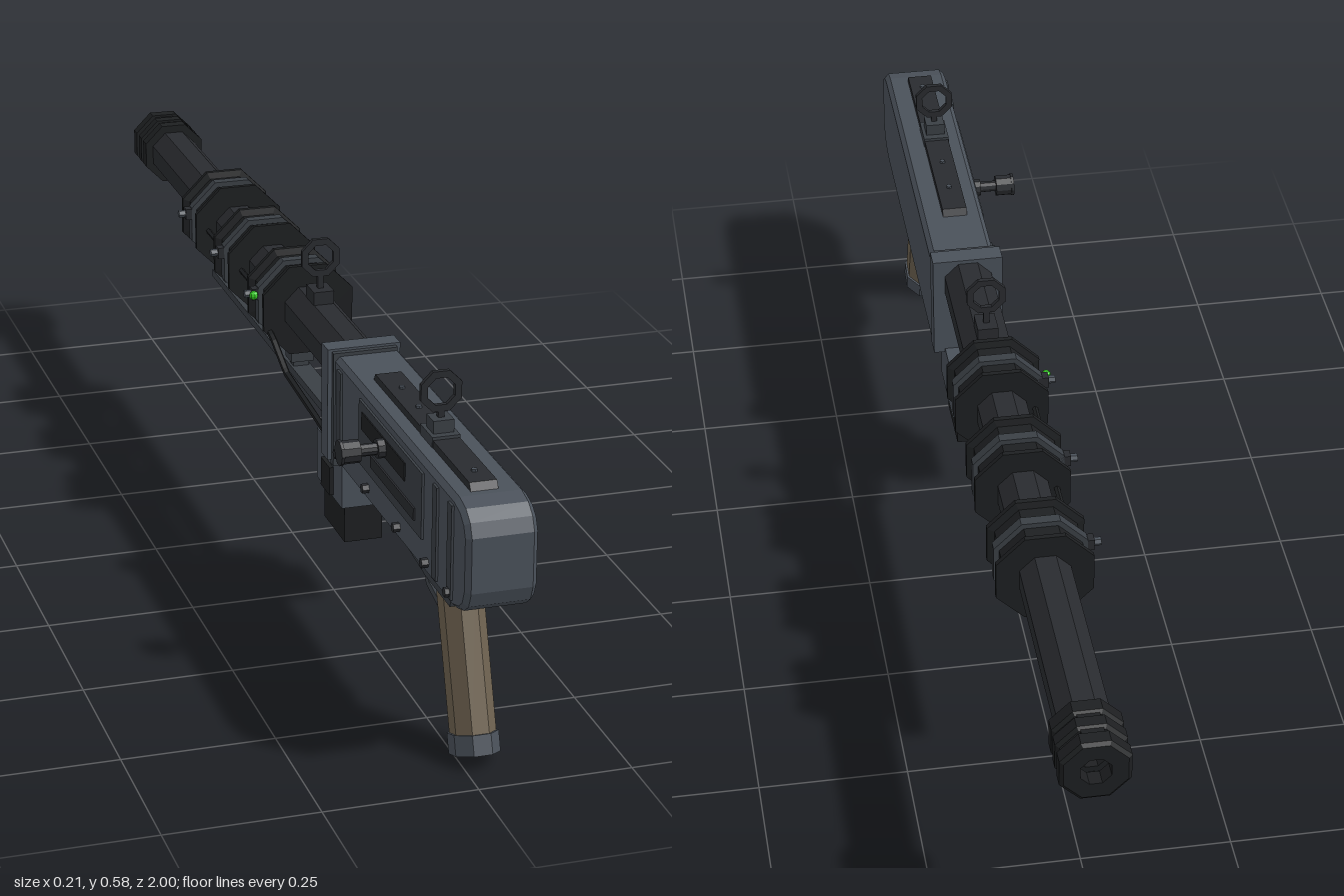
import * as THREE from 'three';

const CX = 0.025, AXIS = 0.425;
const mat = (c) => new THREE.MeshStandardMaterial({ color: c, flatShading: true });

export function createModel() {
  const root = new THREE.Group();
  const steel = mat(0x4a515a), dark = mat(0x292b2f), black = mat(0x1d1f21);
  const wood = mat(0x6e6250), mid = mat(0x3a3f45), green = mat(0x33cc22);

  const add = (name, geo, m, x = 0, y = 0, z = 0) => {
    const mesh = new THREE.Mesh(geo, m);
    mesh.name = name;
    mesh.position.set(x, y, z);
    root.add(mesh);
    return mesh;
  };
  // Box given by its min and max on each axis
  const box = (name, m, x0, x1, y0, y1, z0, z1) =>
    add(name, new THREE.BoxGeometry(x1 - x0, y1 - y0, z1 - z0), m, (x0 + x1) / 2, (y0 + y1) / 2, (z0 + z1) / 2);
  // Octagonal turned part along z, flats up; pts are [flat radius, z] with z rising on the outside
  const octagon = (name, m, pts) => {
    const k = 1 / Math.cos(Math.PI / 8);
    const g = new THREE.LatheGeometry(pts.map(([r, z]) => new THREE.Vector2(r * k, z)), 8);
    g.rotateY(Math.PI / 8).rotateX(Math.PI / 2);
    return add(name, g, m, CX, AXIS, 0);
  };
  // Side outline in (z, y), extruded across x
  const side = (name, m, pts, x0, x1, bevel = 0) => {
    const s = new THREE.Shape(pts.map(([z, y]) => new THREE.Vector2(z, y)));
    const g = new THREE.ExtrudeGeometry(s, {
      depth: x1 - x0 - 2 * bevel, bevelEnabled: bevel > 0, bevelSize: bevel,
      bevelOffset: -bevel, bevelThickness: bevel, bevelSegments: 1,
    });
    g.rotateY(-Math.PI / 2);
    return add(name, g, m, x1 - bevel, 0, 0);
  };
  // Straight-segmented tube
  const pipe = (name, m, pts, r, sides = 5) => {
    const path = new THREE.CurvePath();
    const v = pts.map((p) => new THREE.Vector3(...p));
    for (let i = 1; i < v.length; i++) path.add(new THREE.LineCurve3(v[i - 1], v[i]));
    return add(name, new THREE.TubeGeometry(path, v.length * 6, r, sides), m);
  };

  // Receiver with rounded rear end
  side('receiver', steel, [
    [0.32, 0.278], [0.94, 0.281], [0.97, 0.29], [0.99, 0.305], [1, 0.33], [1, 0.42],
    [0.99, 0.442], [0.97, 0.457], [0.94, 0.464], [0.32, 0.464],
  ], -0.027, 0.087, 0.008);
  box('receiverCollar', steel, -0.037, 0.088, 0.278, 0.474, 0.295, 0.33);
  box('collarLip', mid, -0.03, 0.08, 0.27, 0.47, 0.325, 0.34);

  // Top strip with screws
  side('topStrip', dark, [[0.45, 0.46], [0.93, 0.46], [0.92, 0.476], [0.46, 0.476]], 0.003, 0.047);
  for (const z of [0.53, 0.615, 0.88])
    add('stripScrew', new THREE.CylinderGeometry(0.005, 0.005, 0.004, 6), steel, CX, 0.478, z);

  // Action side: frame, slot and seams
  box('slotPlate', mid, -0.031, -0.02, 0.335, 0.445, 0.48, 0.8);
  box('slot', black, -0.033, -0.02, 0.4, 0.43, 0.5, 0.72);
  box('lowerSlot', dark, -0.034, -0.02, 0.355, 0.375, 0.55, 0.77);
  for (const z of [0.37, 0.86, 0.93]) box('sideRib', mid, -0.031, -0.02, 0.295, 0.45, z - 0.01, z + 0.01);
  for (const z of [0.37, 0.52, 0.68, 0.82, 0.93]) {
    const s = add('sideScrew', new THREE.CylinderGeometry(0.008, 0.008, 0.012, 6), dark, -0.032, 0.305, z);
    s.rotation.z = Math.PI / 2;
  }

  // Bolt handle
  const handle = new THREE.Group();
  handle.name = 'boltHandle';
  for (const [r, a, b] of [[0.016, -0.045, -0.02], [0.01, -0.08, -0.04], [0.019, -0.104, -0.074], [0.021, -0.107, -0.102]]) {
    const c = new THREE.Mesh(new THREE.CylinderGeometry(r, r, b - a, 10), dark);
    c.rotation.z = Math.PI / 2;
    c.position.x = (a + b) / 2;
    handle.add(c);
  }
  handle.position.set(0, 0.414, 0.615);
  root.add(handle);

  // Barrel with bore
  octagon('barrel', dark, [[0, -0.8], [0.022, -0.8], [0.022, -0.91], [0.042, -0.91], [0.042, 0.31]]);

  // Muzzle brake: slotted rings joined by bars at top and bottom
  for (const [a, b] of [[-1, -0.973], [-0.962, -0.937], [-0.928, -0.9]])
    octagon('muzzleRing', black, [[0.024, b], [0.024, a], [0.05, a], [0.056, a + 0.005], [0.056, b], [0.024, b]]);
  for (const s of [-1, 1]) {
    const y = AXIS + s * 0.043;
    box('muzzleBar', black, CX - 0.018, CX + 0.018, y - 0.009, y + 0.009, -0.99, -0.9);
  }

  // Coils, each with flanges, centre band, foot and side terminal
  for (const z of [-0.04, -0.262, -0.485]) {
    octagon('coil', black, [
      [0.03, z - 0.052], [0.08, z - 0.052], [0.08, z - 0.043], [0.068, z - 0.04], [0.068, z + 0.04],
      [0.08, z + 0.043], [0.08, z + 0.052], [0.03, z + 0.052],
    ]);
    octagon('coilBand', mid, [[0.06, z - 0.009], [0.077, z - 0.009], [0.077, z + 0.009], [0.06, z + 0.009]]);
    box('coilFoot', mid, CX - 0.02, CX + 0.02, 0.315, 0.36, z - 0.018, z + 0.018);
    box('coilFootBase', mid, CX - 0.014, CX + 0.014, 0.3, 0.32, z - 0.011, z + 0.011);
    box('terminalArm', dark, -0.063, -0.045, 0.435, 0.455, z - 0.009, z + 0.009);
    const t = add('terminal', new THREE.CylinderGeometry(0.007, 0.007, 0.014, 6), steel, -0.068, 0.445, z);
    t.rotation.z = Math.PI / 2;
  }
  add('indicatorLamp', new THREE.SphereGeometry(0.008, 8, 6), green, -0.062, 0.446, -0.026);

  // Support rail under the coils
  box('rail', mid, CX - 0.018, CX + 0.018, 0.291, 0.305, -0.552, 0.31);

  // Feed cable and links between coils
  pipe('cable', black, [[-0.022, 0.3, 0.3], [-0.025, 0.312, 0.24], [-0.035, 0.34, 0.085], [-0.043, 0.385, 0.03], [-0.043, 0.395, -0.02]], 0.006);
  pipe('coilLink', black, [[-0.032, AXIS, -0.04], [-0.032, AXIS, -0.485]], 0.005);

  // Ring sights
  const sight = (name, z, m) => {
    const s = new THREE.Shape(), h = new THREE.Path();
    for (let i = 0; i < 8; i++) {
      const a = (i + 0.5) * Math.PI / 4, c = Math.cos(a), d = Math.sin(a), f = i ? 'lineTo' : 'moveTo';
      s[f](0.036 * c, 0.036 * d);
      h[f](0.024 * c, 0.024 * d);
    }
    s.closePath();
    h.closePath();
    s.holes.push(h);
    add(name + 'Ring', new THREE.ExtrudeGeometry(s, { depth: 0.008, bevelEnabled: false }), m, CX, 0.545, z - 0.004);
    box(name + 'Post', m, CX - 0.005, CX + 0.005, 0.485, 0.514, z - 0.004, z + 0.004);
  };
  sight('rearSight', 0.72, dark);
  box('rearSightBase', mid, CX - 0.023, CX + 0.023, 0.464, 0.481, 0.69, 0.75);
  box('rearSightBlock', mid, CX - 0.017, CX + 0.017, 0.478, 0.502, 0.703, 0.737);
  sight('frontSight', 0.083, dark);
  box('frontSightBase', dark, CX - 0.018, CX + 0.018, 0.46, 0.49, 0.06, 0.106);

  // Tilted octagonal grip with end cap
  const grip = (name, m, y0, y1, w, d) => {
    const g = new THREE.CylinderGeometry(0.5, 0.5, y1 - y0, 8);
    g.rotateY(Math.PI / 8).scale(w / 0.924, 1, d / 0.924).translate(0, (y0 + y1) / 2, 0);
    const mesh = add(name, g, m, CX, 0.265, 0.822);
    mesh.rotation.x = -0.33;
    return mesh;
  };
  grip('grip', wood, -0.235, 0.01, 0.066, 0.08);
  grip('gripCap', steel, -0.265, -0.232, 0.073, 0.087);
  side('gripMount', mid, [[0.665, 0.285], [0.67, 0.268], [0.77, 0.257], [0.885, 0.257], [0.895, 0.285]], -0.012, 0.062);

  // Trigger and guard
  pipe('triggerGuard', mid, [[CX, 0.213, 0.81], [CX, 0.19, 0.74], [CX, 0.203, 0.682], [CX, 0.275, 0.668]], 0.007, 6);
  side('trigger', dark, [[0.745, 0.265], [0.738, 0.225], [0.73, 0.225], [0.722, 0.265]], CX - 0.006, CX + 0.006);

  // Power pack under the collar
  box('packHousing', steel, -0.017, 0.068, 0.195, 0.285, 0.205, 0.348);
  box('packLatch', black, -0.024, -0.012, 0.2, 0.25, 0.25, 0.3);
  box('powerCell', black, -0.008, 0.058, 0.127, 0.2, 0.22, 0.335);
  add('cellTerminal', new THREE.CylinderGeometry(0.016, 0.016, 0.024, 8), dark, CX, 0.118, 0.276);

  return root;
}
